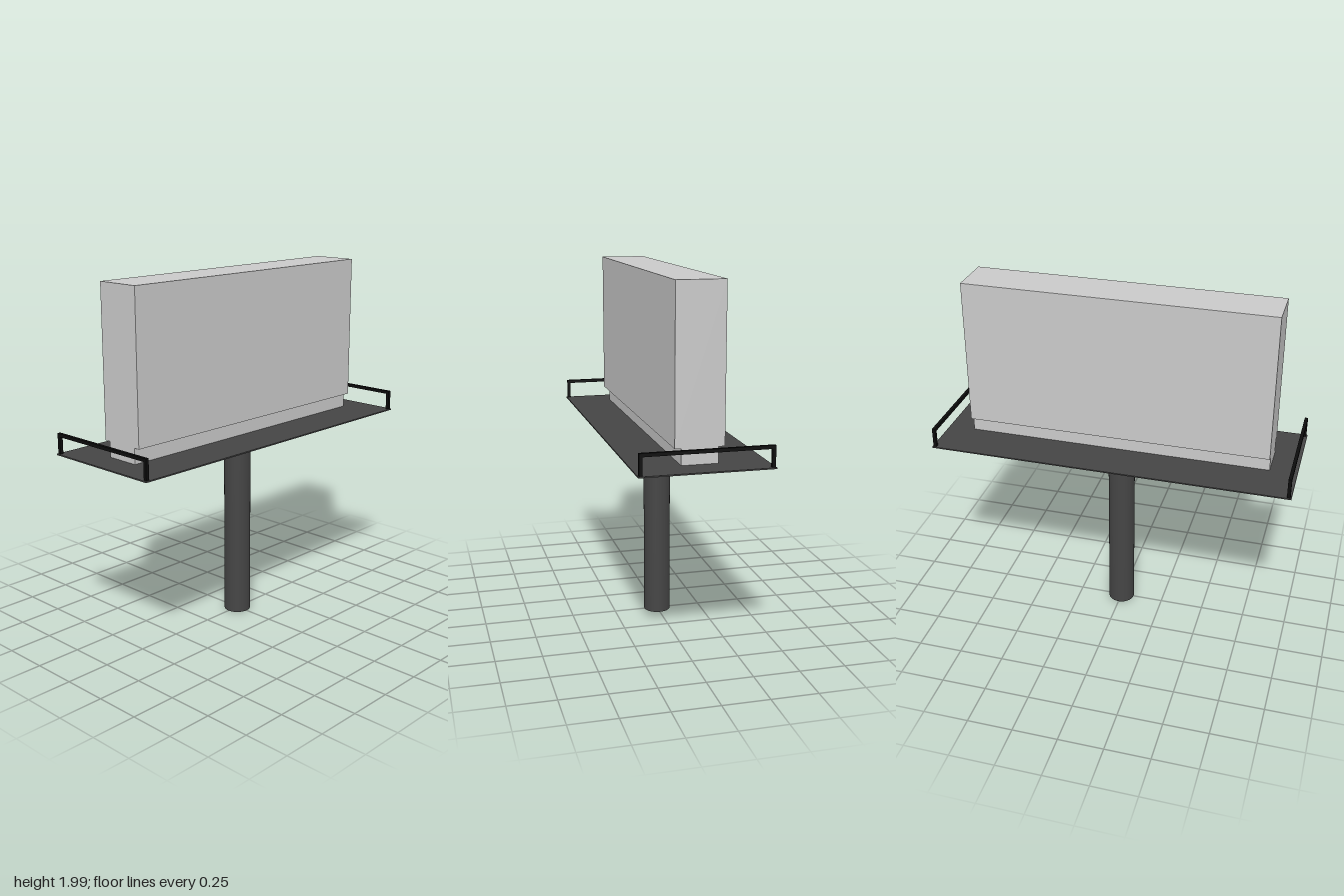
import * as THREE from 'three';

const material = (name, color) => {
  const m = new THREE.MeshStandardMaterial({ color });
  m.name = name;
  return m;
};

export function createModel() {
  const model = new THREE.Group();
  model.name = 'billboard';
  const panelGrey = material('light grey panel', 0xcacaca);
  const steel = material('dark grey steel', 0x454545);
  const black = material('black rail', 0x0c0c0c);

  // Box given by its size, its bottom height and its z position
  const box = (parent, name, mat, w, h, d, bottom, x = 0, z = 0) => {
    const mesh = new THREE.Mesh(new THREE.BoxGeometry(w, h, d), mat);
    mesh.name = name;
    mesh.position.set(x, bottom + h / 2, z);
    parent.add(mesh);
    return mesh;
  };

  // Round supporting pole
  const pole = new THREE.Mesh(new THREE.CylinderGeometry(0.075, 0.075, 1.082, 32), steel);
  pole.name = 'pole';
  pole.position.y = 0.541;
  model.add(pole);

  // Thin walkway with the sign standing on a narrower plinth
  box(model, 'walkway', steel, 0.692, 0.007, 2, 1.082);
  box(model, 'plinth', panelGrey, 0.19, 0.085, 1.7, 1.089);
  box(model, 'signPanel', panelGrey, 0.256, 0.814, 1.7, 1.174);

  // Guard rail at each end of the walkway
  const bar = 0.018;
  for (const side of [1, -1]) {
    const rail = new THREE.Group();
    rail.name = side > 0 ? 'frontRail' : 'backRail';
    const z = side * 0.985;
    box(rail, 'railTop', black, 0.682, bar, bar, 1.182, 0, z);
    for (const x of [-0.332, 0.332]) box(rail, 'railPost', black, bar, 0.093, bar, 1.089, x, z);
    model.add(rail);
  }
  return model;
}
